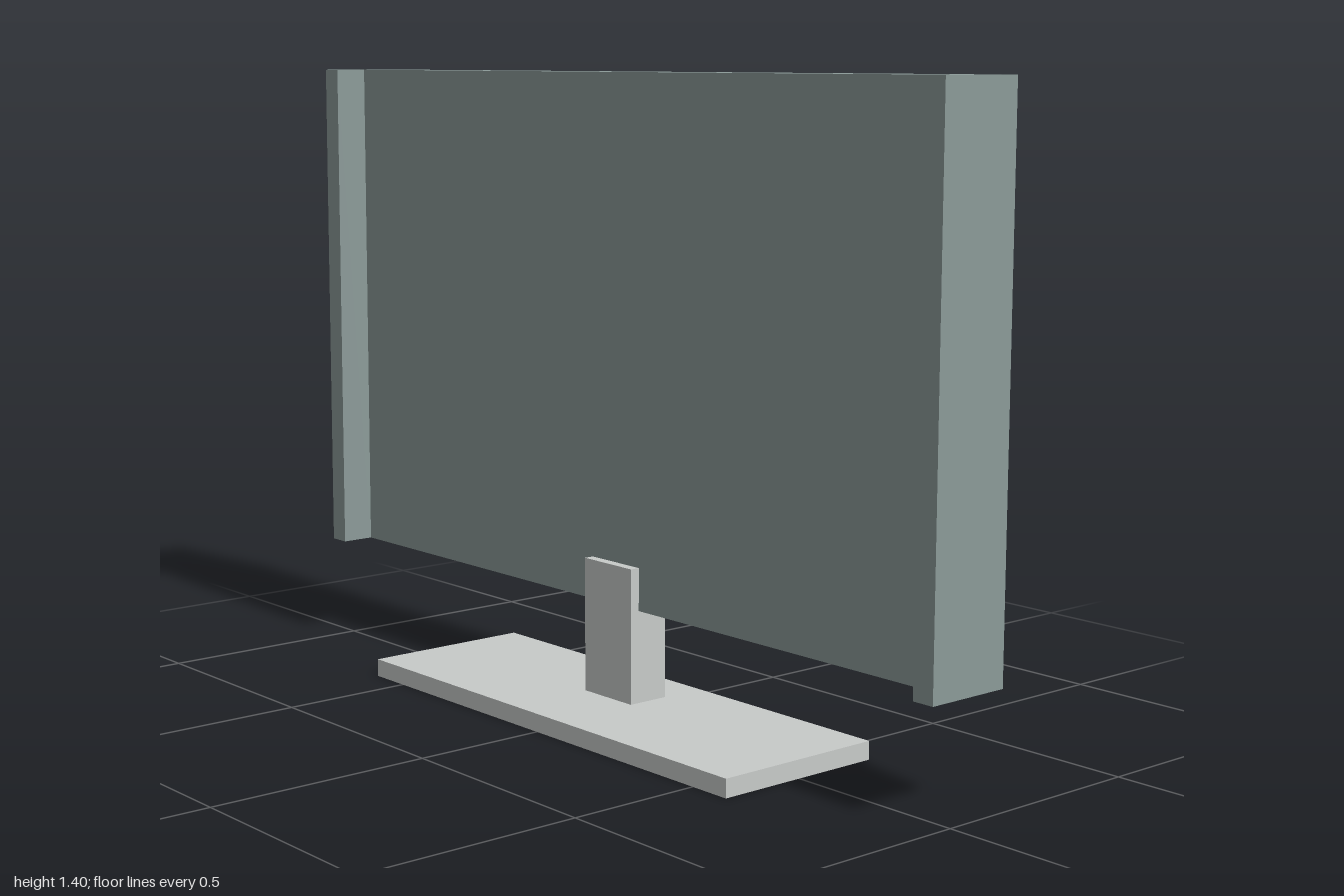
import * as THREE from 'three';

const BOTTOM = 0.245, TOP = 1.4;

// Box given by its limits on each axis
function box(name, material, [x0, x1], [y0, y1], [z0, z1]) {
  const geometry = new THREE.BoxGeometry(x1 - x0, y1 - y0, z1 - z0);
  const mesh = new THREE.Mesh(geometry, material);
  mesh.position.set((x0 + x1) / 2, (y0 + y1) / 2, (z0 + z1) / 2);
  mesh.name = name;
  return mesh;
}

// U-shaped plan: flat screen with a forward lip on each side
function housingGeometry() {
  const plan = [[-1, 0.055], [-0.95, 0.055], [-0.95, -0.022], [0.95, -0.022],
    [0.95, 0.055], [1, 0.055], [1, -0.14], [-1, -0.14]];
  const shape = new THREE.Shape(plan.map(([x, z]) => new THREE.Vector2(x, -z)));
  const geometry = new THREE.ExtrudeGeometry(shape, { depth: TOP - BOTTOM, bevelEnabled: false });
  return geometry.rotateX(-Math.PI / 2).translate(0, BOTTOM, 0);
}

// Rear cover: a box whose back face is drawn in on all four sides
function coverGeometry() {
  const geometry = new THREE.BoxGeometry(2, TOP - BOTTOM, 0.06).toNonIndexed();
  const p = geometry.attributes.position;
  for (let i = 0; i < p.count; i++) {
    if (p.getZ(i) < 0) p.setXY(i, Math.sign(p.getX(i)) * 0.76, Math.sign(p.getY(i)) * 0.418);
  }
  geometry.computeVertexNormals();
  return geometry.translate(0, (TOP + BOTTOM) / 2, -0.17);
}

export function createModel() {
  const casing = new THREE.MeshStandardMaterial({ color: 0x8c9b99 });
  casing.name = 'grey green casing';
  const stand = new THREE.MeshStandardMaterial({ color: 0xc8cbc9 });
  stand.name = 'light grey stand';

  const group = new THREE.Group();
  group.name = 'television';

  const housing = new THREE.Mesh(housingGeometry(), casing);
  housing.name = 'screenHousing';
  const cover = new THREE.Mesh(coverGeometry(), casing);
  cover.name = 'rearCover';

  group.add(
    housing,
    cover,
    box('neck', stand, [-0.08, 0.076], [0.04, 0.34], [-0.098, 0]),
    box('base', stand, [-0.6, 0.597], [0, 0.04], [-0.2, 0.2]),
  );
  return group;
}
